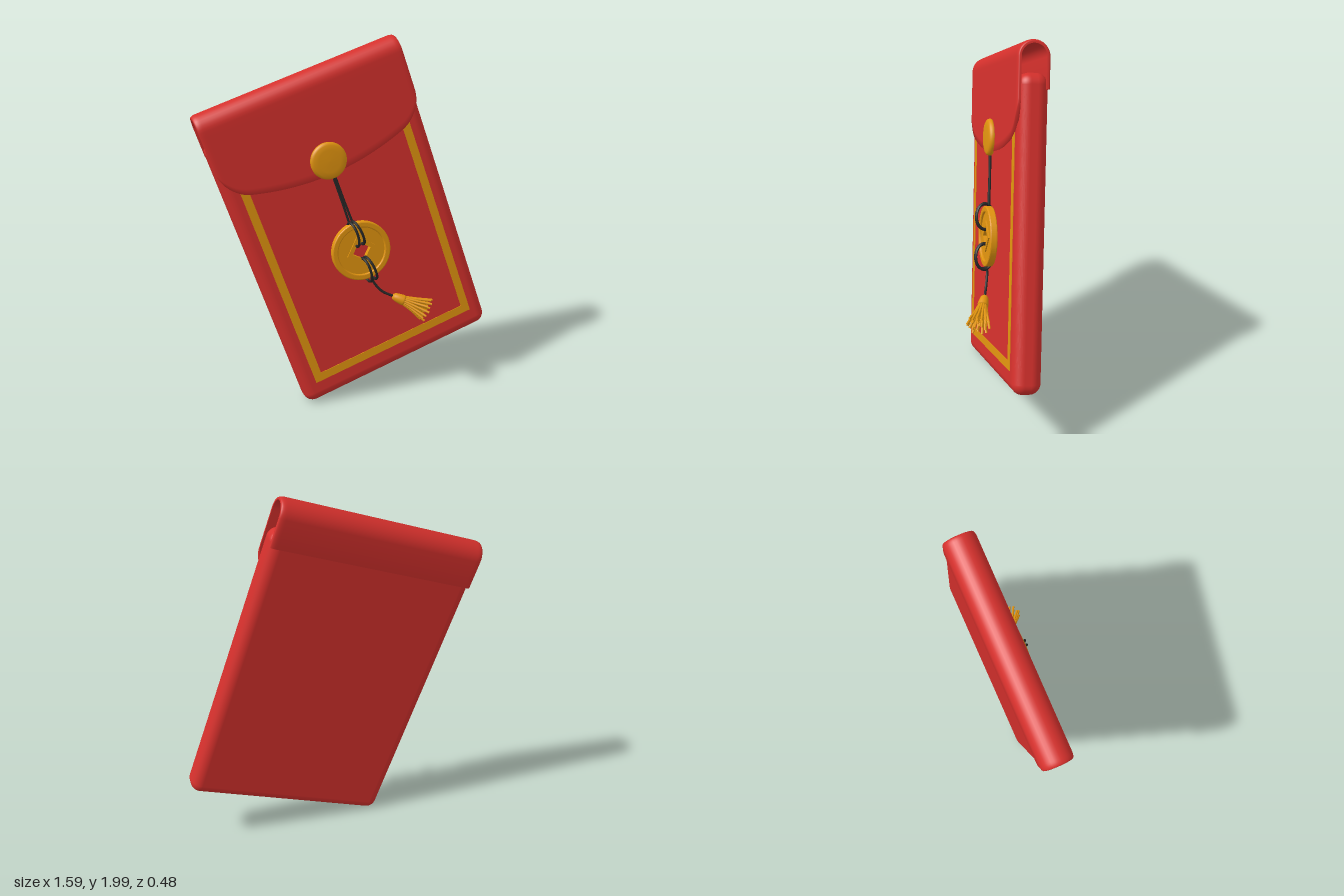
import * as THREE from 'three';
import { RoundedBoxGeometry } from 'three/addons/geometries/RoundedBoxGeometry.js';

const mat = (color, side = THREE.FrontSide) => new THREE.MeshStandardMaterial({ color, side });
const red = mat(0xd4302c), redThin = mat(0xd4302c, THREE.DoubleSide);
const gold = mat(0xe0930f), black = mat(0x262626);
const V = (x, y, z) => new THREE.Vector3(x, y, z);

function part(parent, name, geometry, material, x = 0, y = 0, z = 0) {
  const mesh = new THREE.Mesh(geometry, material);
  mesh.name = name;
  mesh.position.set(x, y, z);
  parent.add(mesh);
  return mesh;
}

const tube = (pts, r, seg = 20) =>
  new THREE.TubeGeometry(new THREE.CatmullRomCurve3(pts), seg, r, 8);

// Rectangle or diamond outline from corner points
const outline = (pts, Type = THREE.Shape) => new Type(pts.map(([x, y]) => new THREE.Vector2(x, y)));
const diamond = (r, Type) => outline([[r, 0], [0, r], [-r, 0], [0, -r]], Type);
const rect = (x, y0, y1, Type) => outline([[-x, y0], [x, y0], [x, y1], [-x, y1]], Type);

function extrude(shape, hole, depth, bevel = 0) {
  if (hole) shape.holes.push(hole);
  return new THREE.ExtrudeGeometry(shape, {
    depth, curveSegments: 48, bevelEnabled: bevel > 0,
    bevelSize: bevel, bevelThickness: bevel, bevelOffset: -bevel, bevelSegments: 3,
  });
}

// Flap: a thick sheet that rises from the back, rolls over the top and hangs in front
const HALF = 0.573;
function flapEdge(a) {
  const k = Math.min(1, Math.max(0, (Math.abs(a) - 0.44) / (HALF - 0.44)));
  return 0.32 + 0.12 * (a / HALF) ** 2 + 0.13 * (1 - Math.sqrt(1 - k * k));
}
function flapSection(a, inset) {
  const r = 0.084 - inset, c = 0.004, top = 0.785, pts = [[0.63, c - r]];
  for (let i = 0; i <= 16; i++) {
    const t = Math.PI * (1 - i / 16);
    pts.push([top + Math.sin(t) * r, c + Math.cos(t) * r]);
  }
  const end = flapEdge(a) + inset * 0.3;
  for (let i = 1; i <= 12; i++) pts.push([top + (end - top) * i / 12, c + r]);
  return pts;
}
function flapGeometry() {
  const cols = 64, pos = [], idx = [];
  let n = 0;
  for (let i = 0; i <= cols; i++) {
    const a = HALF * Math.sin((i / cols - 0.5) * Math.PI);
    // the outer skin curls in a little at both ends
    const k = Math.max(0, (Math.abs(a) - HALF + 0.03) / 0.03);
    const loop = [...flapSection(a, 0.011 * (1 - Math.sqrt(1 - Math.min(1, k * k)))),
      ...flapSection(a, 0.02).reverse()];
    n = loop.length;
    loop.forEach(([y, z]) => pos.push(a, y, z));
  }
  for (let i = 0; i < cols; i++) for (let j = 0; j < n; j++) {
    const p = i * n + j, q = i * n + (j + 1) % n;
    idx.push(p, p + n, q, q, p + n, q + n);
  }
  // rims at the two open ends
  for (let j = 0; j < n / 2 - 1; j++) {
    const a = j, b = j + 1, c = n - 2 - j, d = n - 1 - j, e = cols * n;
    idx.push(a, b, c, a, c, d, e + a, e + c, e + b, e + a, e + d, e + c);
  }
  const g = new THREE.BufferGeometry();
  g.setAttribute('position', new THREE.Float32BufferAttribute(pos, 3));
  g.setIndex(idx);
  g.computeVertexNormals();
  return g;
}

function makeCoin() {
  const coin = new THREE.Group();
  coin.name = 'coin';
  const disc = new THREE.Shape().absarc(0, 0, 0.16, 0, Math.PI * 2);
  part(coin, 'coinDisc', extrude(disc, diamond(0.055, THREE.Path), 0.014, 0.006), gold, 0, 0, 0.006);
  const rim = new THREE.Shape().absarc(0, 0, 0.165, 0, Math.PI * 2);
  const rimHole = new THREE.Path().absarc(0, 0, 0.132, 0, Math.PI * 2);
  part(coin, 'coinRim', extrude(rim, rimHole, 0.026, 0.007), gold, 0, 0, 0.005);
  part(coin, 'coinInnerFrame', extrude(diamond(0.085), diamond(0.053, THREE.Path), 0.03), gold, 0, 0, 0.003);
  return coin;
}

function makeTassel(from, to) {
  const tassel = new THREE.Group();
  tassel.name = 'tassel';
  const profile = [[0, 0], [0.014, -0.002], [0.021, -0.012], [0.026, -0.035], [0.03, -0.062], [0.027, -0.072], [0, -0.074]];
  const head = new THREE.LatheGeometry(profile.map(([r, y]) => new THREE.Vector2(r, y)).reverse(), 24);
  part(tassel, 'tasselHead', head, gold);
  // fringe in three rings of strands
  [[4, 0.3], [9, 0.65], [15, 1]].forEach(([count, spread]) => {
    for (let i = 0; i < count; i++) {
      const t = (i + spread) / count * Math.PI * 2, x = Math.cos(t) * spread, z = Math.sin(t) * spread;
      const tip = -0.205 - 0.012 * Math.sin(i * 2.4);
      part(tassel, 'fringeStrand', tube([
        V(x * 0.02, -0.065, z * 0.02), V(x * 0.034, -0.12, z * 0.034), V(x * 0.062, tip, z * 0.062),
      ], 0.0065, 8), gold);
    }
  });
  tassel.position.copy(from);
  tassel.quaternion.setFromUnitVectors(V(0, -1, 0), to.clone().sub(from).normalize());
  return tassel;
}

export function createModel() {
  const model = new THREE.Group();
  model.name = 'envelope';

  // Pouch, flap and border
  part(model, 'pouch', new RoundedBoxGeometry(1.15, 1.59, 0.15, 6, 0.058), red, 0, -0.085, -0.002);
  part(model, 'flap', flapGeometry(), redThin);
  part(model, 'border', extrude(rect(0.49, -0.766, 0.6), rect(0.445, -0.72, 0.555, THREE.Path), 0.008),
    gold, 0, 0, 0.068);

  // Button on the flap
  const button = [[0, 0.034], [0.06, 0.033], [0.085, 0.03], [0.096, 0.023], [0.1, 0.012], [0.098, 0], [0, 0]];
  part(model, 'button', new THREE.LatheGeometry(button.map(([r, y]) => new THREE.Vector2(r, y)).reverse(), 48),
    gold, 0, 0.397, 0.084).rotation.x = Math.PI / 2;

  // Coin
  const coin = makeCoin();
  coin.position.set(0, -0.14, 0.076);
  model.add(coin);

  // Cord: two strands to the coin, loops round its rim, tail to the tassel
  const tail = V(0.075, -0.455, 0.12);
  for (const s of [-1, 1]) {
    part(model, 'cordStrand', tube([
      V(s * 0.005, 0.34, 0.09), V(s * 0.006, 0.17, 0.09), V(s * 0.009, 0.03, 0.092),
    ], 0.0065), black);
    for (const y of [-0.032, -0.25]) {
      const loop = part(model, 'cordLoop', new THREE.TorusGeometry(0.062, 0.0075, 8, 40), black, s * 0.013, y, 0.113);
      loop.scale.set(0.8, 1.12, 1);
      loop.rotation.set(0, Math.PI / 2 + 0.22, s * 0.06, 'ZYX');
    }
  }
  part(model, 'cordTail', tube([
    V(0.004, -0.29, 0.1), V(0.006, -0.34, 0.095), V(0.032, -0.41, 0.105), tail,
  ], 0.007), black);
  model.add(makeTassel(tail, V(0.225, -0.6, 0.185)));

  // Tilt of the whole envelope
  model.rotation.set(0, 0.29, 0.325, 'ZYX');
  model.position.y = 1;
  const root = new THREE.Group();
  root.name = 'tiltedEnvelope';
  root.add(model);
  return root;
}
